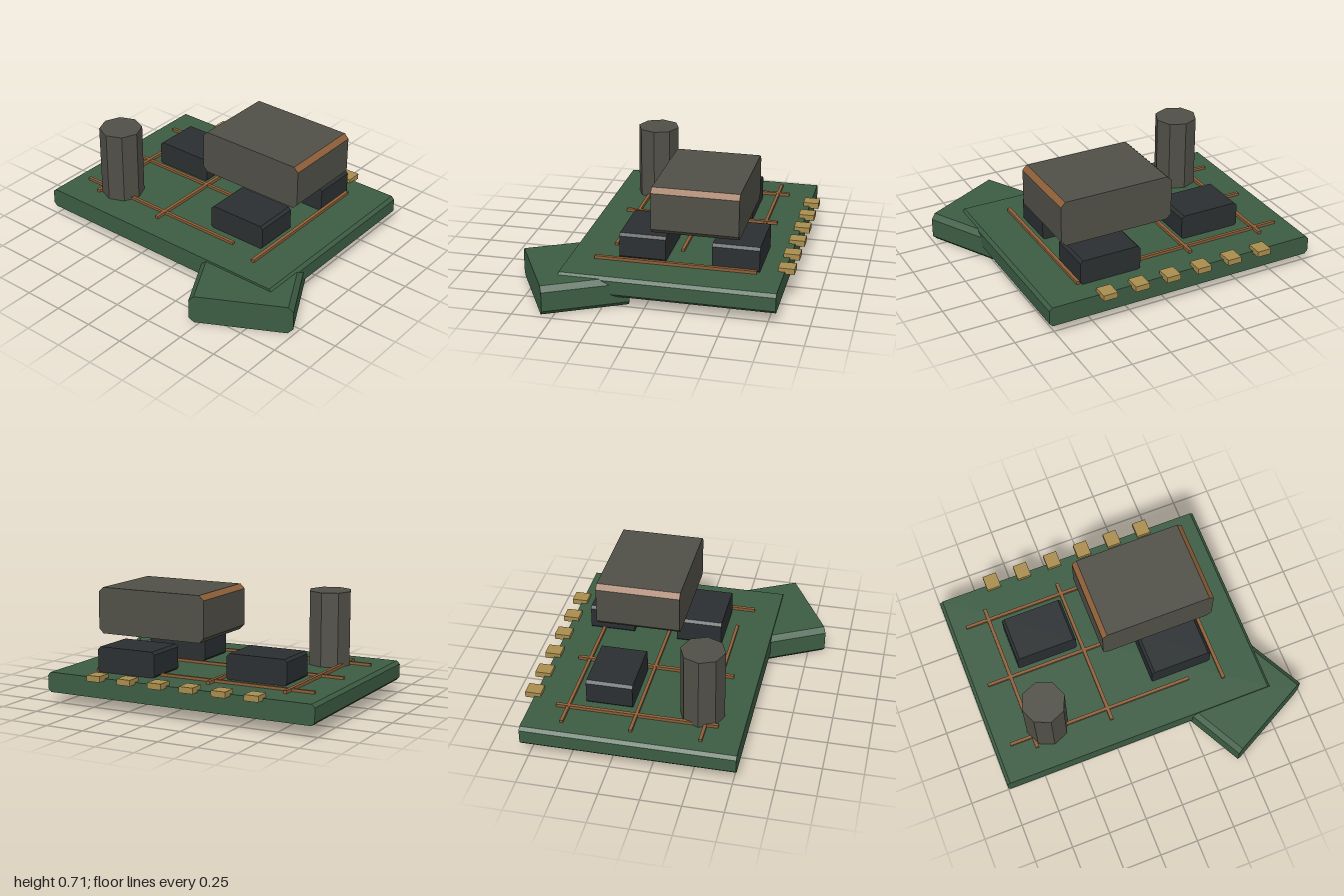
import * as THREE from 'three';

const paint = (color) => new THREE.MeshStandardMaterial({ color, flatShading: true });

export function createModel() {
  const model = new THREE.Group();
  const green = paint(0x3c5c43);
  const black = paint(0x2b2f31);
  const grey = paint(0x504f47);
  const copper = paint(0x8f5f38);
  const gold = paint(0xa98d4e);

  const add = (name, geometry, material, x, y, z) => {
    const mesh = new THREE.Mesh(geometry, material);
    mesh.name = name;
    mesh.position.set(x, y, z);
    model.add(mesh);
    return mesh;
  };

  // Block whose four long edges (along z) are bevelled by c
  const bevelled = (w, h, d, c) => {
    const a = w / 2, b = h / 2;
    const outline = [
      [-a + c, -b], [a - c, -b], [a, -b + c], [a, b - c],
      [a - c, b], [-a + c, b], [-a, b - c], [-a, -b + c],
    ].map(([x, y]) => new THREE.Vector2(x, y));
    return new THREE.ExtrudeGeometry(new THREE.Shape(outline), { depth: d, bevelEnabled: false })
      .translate(0, 0, -d / 2);
  };

  // Main board and the angled tab under its front corner
  add('board', bevelled(1.8, 0.126, 1.32, 0.02), green, -0.1, 0.138, -0.14);
  add('cornerTab', bevelled(0.625, 0.187, 0.535, 0.032), green, 0.592, 0.0935, 0.474).rotation.y = 0.49;

  // Chips on the board
  for (const [x, z] of [[-0.47, -0.325], [0.325, -0.51], [0.297, 0.073]]) {
    add('chip', bevelled(0.4, 0.165, 0.29, 0.017), black, x, 0.2785, z);
  }

  // Raised block with copper strips on its upper bevels
  const block = { w: 0.74, h: 0.29, d: 0.535, c: 0.03, x: 0.22, y: 0.564, z: -0.27 };
  add('raisedBlock', bevelled(block.w, block.h, block.d, block.c), grey, block.x, block.y, block.z);
  for (const side of [-1, 1]) {
    const strip = new THREE.PlaneGeometry(block.c * Math.SQRT2, block.d)
      .rotateX(-Math.PI / 2).rotateZ(-side * Math.PI / 4);
    add('copperEdge', strip, copper,
      block.x + side * (block.w / 2 - block.c / 2 + 0.001),
      block.y + block.h / 2 - block.c / 2 + 0.001, block.z);
  }

  // Eight-sided capacitor
  add('capacitor', new THREE.CylinderGeometry(0.137, 0.137, 0.47, 8), grey, -0.63, 0.436, 0.245);

  // Copper traces in both directions
  for (const z of [-0.565, -0.14, 0.285]) {
    add('crossTrace', new THREE.BoxGeometry(1.22, 0.02, 0.02), copper, -0.285, 0.208, z);
  }
  for (const x of [-0.74, -0.235, 0.535]) {
    add('longTrace', new THREE.BoxGeometry(0.022, 0.022, 1.005), copper, x, 0.209, -0.138);
  }

  // Row of contacts along the back edge
  for (let i = 0; i < 6; i++) {
    add('contact', new THREE.BoxGeometry(0.092, 0.037, 0.1), gold, -0.632 + i * 0.2125, 0.2065, -0.809);
  }

  return model;
}
